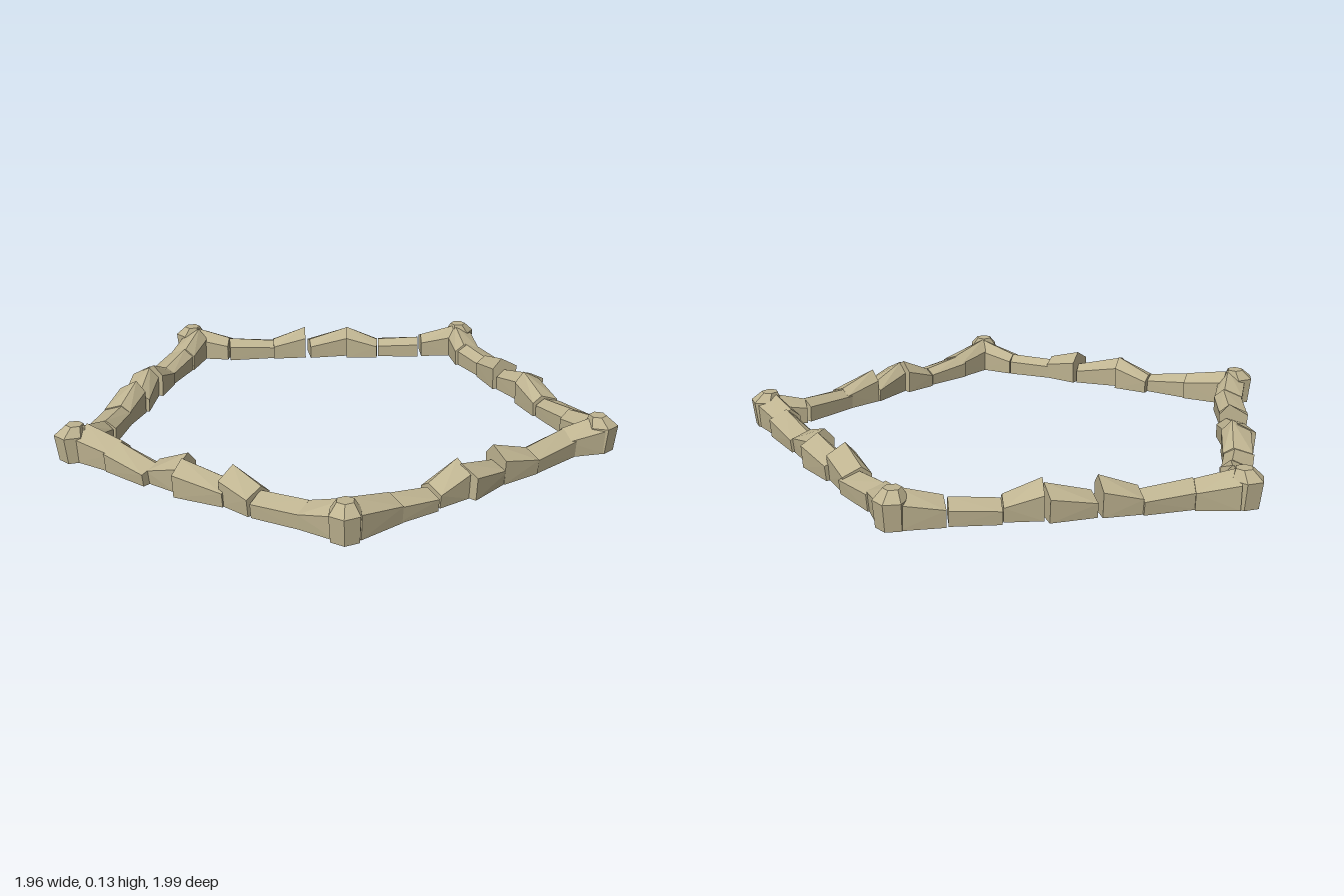
import * as THREE from 'three';
import { ConvexGeometry } from 'three/addons/geometries/ConvexGeometry.js';

const BASE = 0.01;

// Each stone: x0, z0, x1, z1 (ends of its centre line), then crest height at each end
const WALLS = {
  frontWall: [
    [-0.88, 0.56, -0.72, 0.61, 0.14, 0.11],
    [-0.74, 0.61, -0.56, 0.69, 0.11, 0.075],
    [-0.56, 0.66, -0.43, 0.71, 0.08, 0.14],
    [-0.44, 0.74, -0.25, 0.77, 0.13, 0.085],
    [-0.25, 0.76, -0.13, 0.82, 0.14, 0.1],
    [-0.13, 0.82, 0.05, 0.86, 0.085, 0.09],
    [0.05, 0.86, 0.2, 0.91, 0.09, 0.14],
  ],
  frontLeftWall: [
    [0.21, 0.9, 0.31, 0.75, 0.14, 0.1],
    [0.29, 0.77, 0.41, 0.63, 0.1, 0.075],
    [0.41, 0.61, 0.49, 0.51, 0.08, 0.14],
    [0.51, 0.53, 0.59, 0.36, 0.13, 0.08],
    [0.59, 0.37, 0.69, 0.25, 0.14, 0.09],
    [0.68, 0.26, 0.8, 0.07, 0.085, 0.1],
    [0.79, 0.07, 0.92, 0, 0.1, 0.14],
  ],
  backLeftWall: [
    [0.91, 0, 0.8, -0.12, 0.14, 0.11],
    [0.82, -0.12, 0.69, -0.28, 0.11, 0.08],
    [0.68, -0.28, 0.59, -0.4, 0.09, 0.14],
    [0.61, -0.42, 0.49, -0.54, 0.13, 0.09],
    [0.48, -0.53, 0.39, -0.66, 0.14, 0.1],
    [0.41, -0.65, 0.28, -0.79, 0.085, 0.1],
    [0.28, -0.77, 0.21, -0.92, 0.1, 0.14],
  ],
  backWall: [
    [0.2, -0.92, 0.05, -0.87, 0.14, 0.1],
    [0.04, -0.86, -0.13, -0.82, 0.09, 0.08],
    [-0.13, -0.8, -0.26, -0.77, 0.085, 0.14],
    [-0.27, -0.79, -0.42, -0.72, 0.13, 0.085],
    [-0.44, -0.72, -0.57, -0.67, 0.14, 0.09],
    [-0.57, -0.68, -0.75, -0.6, 0.08, 0.1],
    [-0.75, -0.61, -0.9, -0.59, 0.1, 0.14],
  ],
  rightWall: [
    [-0.89, -0.56, -0.89, -0.4, 0.14, 0.1],
    [-0.895, -0.4, -0.91, -0.21, 0.1, 0.075],
    [-0.905, -0.22, -0.9, -0.08, 0.08, 0.14],
    [-0.92, -0.09, -0.885, 0.1, 0.13, 0.085],
    [-0.895, 0.1, -0.9, 0.24, 0.14, 0.09],
    [-0.9, 0.23, -0.88, 0.42, 0.085, 0.1],
    [-0.885, 0.42, -0.9, 0.57, 0.1, 0.14],
  ],
};

const CORNERS = [[0.915, 0], [0.2, 0.93], [-0.92, 0.575], [-0.92, -0.585], [0.21, -0.93]];

// Cross-section of a stone: outward offset, share of crest height
const PROFILE = [[-0.05, 0], [-0.052, 0.68], [-0.015, 1], [0.056, 0.7], [0.05, 0]];

// Rough block with an off-centre crest running between its two ends
function stoneGeometry([x0, z0, x1, z1, h0, h1]) {
  const along = new THREE.Vector2(x1 - x0, z1 - z0).normalize();
  const out = new THREE.Vector2(-along.y, along.x);
  if (out.x * (x0 + x1) + out.y * (z0 + z1) < 0) out.negate();
  const points = [];
  for (const [x, z, h] of [[x0, z0, h0], [x1, z1, h1]]) {
    for (const [u, v] of PROFILE) {
      points.push(new THREE.Vector3(x + out.x * u, BASE + v * (h - BASE), z + out.y * u));
    }
  }
  return new ConvexGeometry(points);
}

// Six-sided boulder that widens upward and leans out of the ring
function boulderGeometry(x, z) {
  const out = new THREE.Vector2(x, z).normalize();
  const points = [];
  for (const [y, r, lean] of [[BASE, 0.055, 0], [0.108, 0.06, 0.008], [0.143, 0.032, -0.008]]) {
    for (let i = 0; i < 6; i++) {
      const a = Math.atan2(out.y, out.x) + (i * Math.PI) / 3;
      points.push(new THREE.Vector3(
        x + out.x * lean + Math.cos(a) * r, y, z + out.y * lean + Math.sin(a) * r));
    }
  }
  return new ConvexGeometry(points);
}

export function createModel() {
  const group = new THREE.Group();
  group.name = 'stoneRing';
  const stone = new THREE.MeshStandardMaterial({ color: 0xbfb491 });
  stone.name = 'sandstone';

  const add = (parent, geometry, name) => {
    const mesh = new THREE.Mesh(geometry, stone);
    mesh.name = name;
    parent.add(mesh);
  };

  // Five walls of stones
  for (const [name, stones] of Object.entries(WALLS)) {
    const wall = new THREE.Group();
    wall.name = name;
    stones.forEach((s, i) => add(wall, stoneGeometry(s), `stone${i + 1}`));
    group.add(wall);
  }

  // Corner boulders
  CORNERS.forEach(([x, z], i) => add(group, boulderGeometry(x, z), `cornerBoulder${i + 1}`));
  return group;
}
